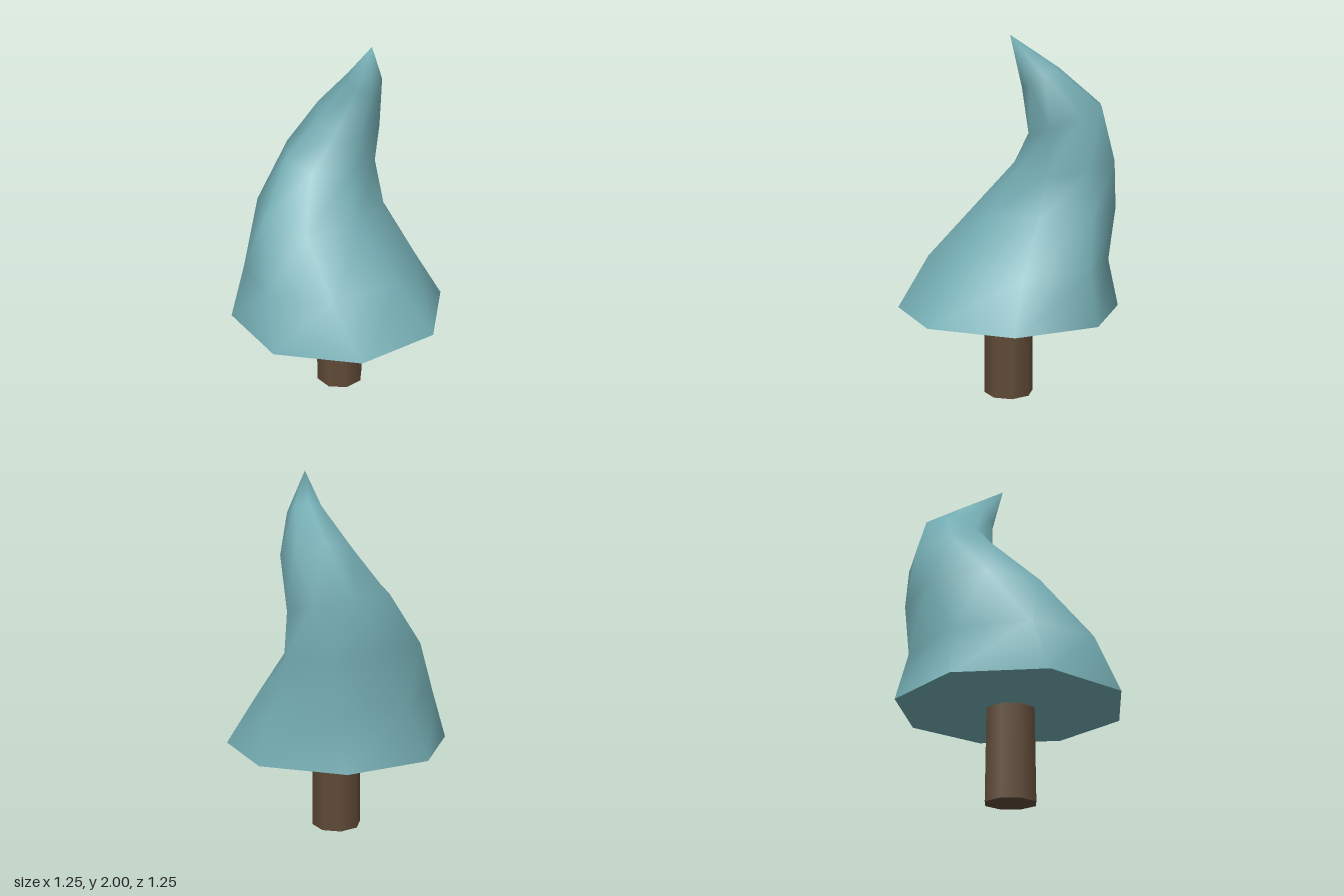
import * as THREE from 'three';

const SIDES = 8;

// Each ring: centre x, y, z, radius along the right-back diagonal, radius across it,
// twist in degrees, slope of the ring along x and z
const RINGS = [
  [0, 0.5, 0, 0.63, 0.62, 0, 0, 0],
  [-0.035, 0.775, -0.05, 0.55, 0.46, 5, -0.02, -0.01],
  [-0.06, 1.065, -0.2, 0.435, 0.34, 16, -0.08, -0.06],
  [0.015, 1.325, -0.3, 0.31, 0.25, 28, -0.17, -0.17],
  [0.12, 1.56, -0.295, 0.222, 0.18, 33, -0.07, -0.45],
  [0.18, 1.78, -0.16, 0.1, 0.098, 38, -0.05, -0.53],
];
const TIP = [0.175, 2, 0];

function ringPoint([cx, cy, cz, along, across, twist, sx, sz], j) {
  const t = (j / SIDES) * Math.PI * 2 - THREE.MathUtils.degToRad(twist);
  const u = along * Math.sin(t - Math.PI / 4), v = across * Math.cos(t - Math.PI / 4);
  const dx = (u + v) * Math.SQRT1_2, dz = (v - u) * Math.SQRT1_2;
  return [cx + dx, cy + dx * sx + dz * sz, cz + dz];
}

function geometryFrom(points, index) {
  const g = new THREE.BufferGeometry();
  g.setAttribute('position', new THREE.Float32BufferAttribute(points.flat(), 3));
  g.setIndex(index);
  g.computeVertexNormals();
  return g;
}

// Smooth twisted cone skinned over the rings, closed by a fan at the bent tip
function crownGeometry() {
  const points = [], index = [];
  for (const ring of RINGS)
    for (let j = 0; j < SIDES; j++) points.push(ringPoint(ring, j));
  const tip = points.push(TIP) - 1;
  RINGS.forEach((_, i) => {
    for (let j = 0; j < SIDES; j++) {
      const k = (j + 1) % SIDES;
      const a = i * SIDES + j, b = i * SIDES + k;
      if (i === RINGS.length - 1) index.push(a, b, tip);
      else index.push(a, b, b + SIDES, a, b + SIDES, a + SIDES);
    }
  });
  return geometryFrom(points, index);
}

// Flat underside of the foliage
function undersideGeometry() {
  const points = [[0, 0.5, 0]], index = [];
  for (let j = 0; j < SIDES; j++) {
    points.push(ringPoint(RINGS[0], j));
    index.push(0, ((j + 1) % SIDES) + 1, j + 1);
  }
  return geometryFrom(points, index);
}

export function createModel() {
  const foliage = new THREE.MeshStandardMaterial({ color: 0x74adb3 });
  foliage.name = 'foliage';
  const bark = new THREE.MeshStandardMaterial({ color: 0x5f4a37 });
  bark.name = 'bark';

  const model = new THREE.Group();
  model.name = 'tree';
  const add = (name, geometry, material) => {
    const mesh = new THREE.Mesh(geometry, material);
    mesh.name = name;
    model.add(mesh);
    return mesh;
  };

  add('crown', crownGeometry(), foliage);
  add('crownUnderside', undersideGeometry(), foliage);

  // Short eight-sided trunk
  const trunk = add('trunk', new THREE.CylinderGeometry(0.138, 0.141, 0.5, SIDES), bark);
  trunk.position.set(0.006, 0.25, 0);
  trunk.rotation.y = 0.1;

  return model;
}
